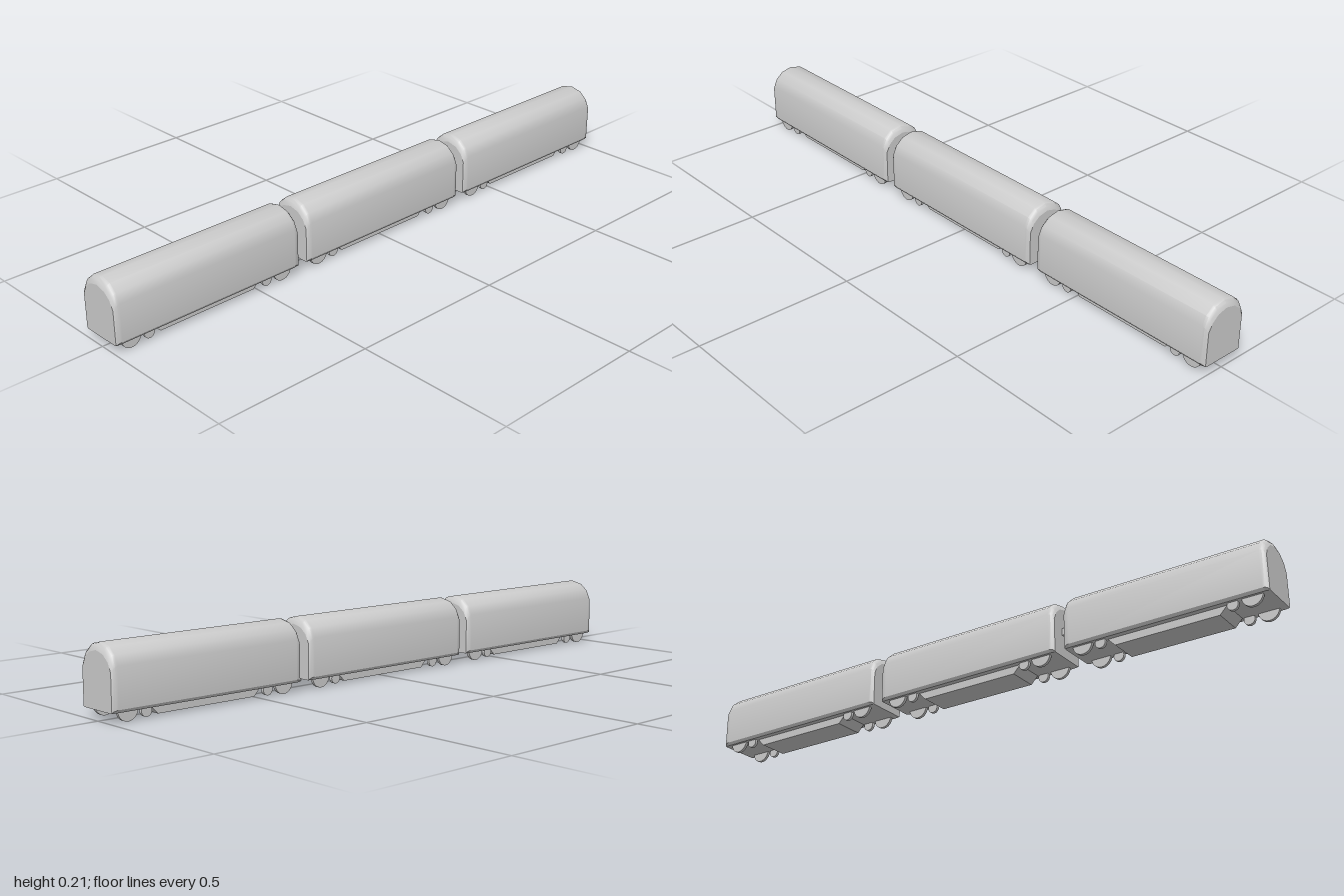
import * as THREE from 'three';
import { toCreasedNormals } from 'three/addons/utils/BufferGeometryUtils.js';

const CAR_LENGTH = 0.645, CAR_SPACING = 0.6775, BEVEL = 0.018;
const material = new THREE.MeshStandardMaterial({ color: 0xcccccc });

// Half cross-sections [z, y], from the floor edge up to the roof ridge
const FULL = [[0.067, 0.029], [0.073, 0.038], [0.073, 0.154], [0.061, 0.182], [0.036, 0.203], [0, 0.211]];
const END = [[0.063, 0.029], [0.067, 0.031], [0.067, 0.138], [0.054, 0.164], [0.032, 0.182], [0, 0.19]];

const mirrored = (half) => [...half, ...half.slice(0, -1).reverse().map(([z, y]) => [-z, y])];

function part(name, geometry, x = 0, y = 0, z = 0) {
  const mesh = new THREE.Mesh(geometry, material);
  mesh.name = name;
  mesh.position.set(x, y, z);
  return mesh;
}

// Shell lofted along x, with rounded shoulders narrowing to the end profile
function bodyGeometry() {
  const full = mirrored(FULL), end = mirrored(END), n = full.length;
  const rings = [];
  for (let k = 0; k <= 3; k++) {
    const a = (k / 3) * (Math.PI / 3);
    rings.push({
      x: CAR_LENGTH / 2 - BEVEL + BEVEL * Math.sin(a) / Math.sin(Math.PI / 3),
      t: (1 - Math.cos(a)) * 2,
    });
  }
  const all = [...rings.slice().reverse().map(({ x, t }) => ({ x: -x, t })), ...rings];
  const position = [], index = [];
  for (const { x, t } of all) {
    full.forEach(([z, y], j) => position.push(
      x, THREE.MathUtils.lerp(y, end[j][1], t), THREE.MathUtils.lerp(z, end[j][0], t)));
  }
  for (let i = 0; i < all.length - 1; i++) {
    for (let j = 0; j < n; j++) {
      const k = (j + 1) % n;
      const a = i * n + j, b = a + n, c = (i + 1) * n + k, d = i * n + k;
      index.push(a, b, c, a, c, d);
    }
  }
  const g = new THREE.BufferGeometry();
  g.setAttribute('position', new THREE.Float32BufferAttribute(position, 3));
  g.setIndex(index);
  return toCreasedNormals(g, 0.55);
}

// Flat end wall facing +x or -x
function endGeometry(side) {
  const shape = new THREE.Shape(mirrored(END).map(([z, y]) => new THREE.Vector2(z, y)));
  return new THREE.ShapeGeometry(shape).rotateY(side * Math.PI / 2);
}

// Equipment box under the floor, with sloping ends
function underboxGeometry() {
  const shape = new THREE.Shape([[-0.165, 0.005], [0.165, 0.005], [0.19, 0.031], [-0.19, 0.031]]
    .map(([x, y]) => new THREE.Vector2(x, y)));
  return new THREE.ExtrudeGeometry(shape, { depth: 0.098, bevelEnabled: false }).translate(0, 0, -0.049);
}

const wheelGeometry = (radius) => new THREE.CylinderGeometry(radius, radius, 0.01, 24).rotateX(Math.PI / 2);

export function createModel() {
  const train = new THREE.Group();
  train.name = 'train';
  const body = bodyGeometry(), underbox = underboxGeometry();
  const bigWheel = wheelGeometry(0.032), smallWheel = wheelGeometry(0.017);

  for (const i of [-1, 0, 1]) {
    const car = new THREE.Group();
    car.name = ['rightCar', 'middleCar', 'leftCar'][i + 1];
    car.position.x = i * CAR_SPACING;
    car.add(part('body', body), part('underbox', underbox));
    for (const sx of [-1, 1]) {
      car.add(part('endWall', endGeometry(sx), sx * CAR_LENGTH / 2));
      for (const sz of [-1, 1]) {
        car.add(part('bigWheel', bigWheel, sx * 0.267, 0.032, sz * 0.054));
        car.add(part('smallWheel', smallWheel, sx * 0.208, 0.021, sz * 0.054));
      }
    }
    train.add(car);
  }

  // Couplers bridging the gaps between cars
  const coupler = new THREE.BoxGeometry(0.05, 0.022, 0.05);
  for (const side of [-1, 1]) train.add(part('coupler', coupler, side * CAR_SPACING / 2, 0.11, 0));
  return train;
}
